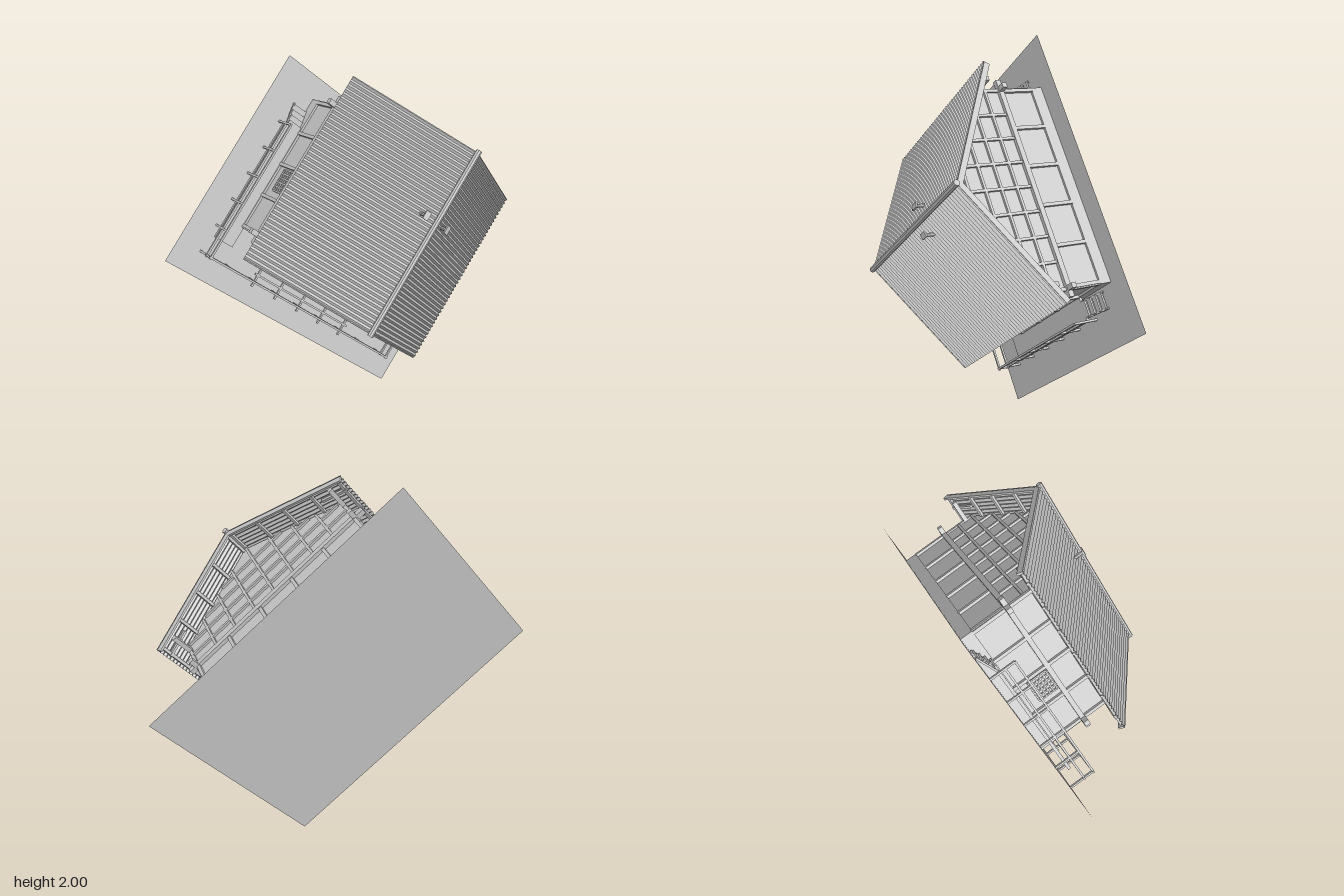
import * as THREE from 'three';

const grey = new THREE.MeshStandardMaterial({ color: 0xcccccc, flatShading: true });
const thin = new THREE.MeshStandardMaterial({ color: 0xcccccc, flatShading: true, side: THREE.DoubleSide });

// House dimensions in its own upright frame (y up, ridge along z)
const X0 = -0.56, X1 = 0.506, Z0 = -0.5, Z1 = 0.26, ZC = -0.12;
const RIDGE_X = -0.017, RIDGE_Y = 0.765, PITCH = 0.525, SLOPE = 0.732, ROOF_LEN = 1.06;
const DECK = 0.06, RAIL = 0.14;
const roofY = x => RIDGE_Y - Math.abs(x - RIDGE_X) * Math.tan(PITCH);

function add(parent, name, geometry, x, y, z, material = grey) {
  const mesh = new THREE.Mesh(geometry, material);
  mesh.name = name;
  mesh.position.set(x, y, z);
  parent.add(mesh);
  return mesh;
}

// Box given by its low and high corners
function box(parent, name, x0, x1, y0, y1, z0, z1) {
  return add(parent, name, new THREE.BoxGeometry(x1 - x0, y1 - y0, z1 - z0),
    (x0 + x1) / 2, (y0 + y1) / 2, (z0 + z1) / 2);
}

// Square timber between two points
function bar(parent, name, a, b, t = 0.012) {
  const p = new THREE.Vector3(...a), q = new THREE.Vector3(...b);
  const mesh = add(parent, name, new THREE.BoxGeometry(t, t, p.distanceTo(q)), 0, 0, 0);
  mesh.position.copy(p).add(q).multiplyScalar(0.5);
  mesh.lookAt(q);
  return mesh;
}

function buildWalls() {
  const g = new THREE.Group();
  g.name = 'walls';
  const s = new THREE.Shape();
  s.moveTo(X0, 0);
  s.lineTo(X1, 0);
  s.lineTo(X1, roofY(X1) - 0.015);
  s.lineTo(RIDGE_X, RIDGE_Y - 0.015);
  s.lineTo(X0, roofY(X0) - 0.015);
  const gable = new THREE.ExtrudeGeometry(s, { depth: 0.02, bevelEnabled: false });
  add(g, 'backGableWall', gable, 0, 0, Z0);
  add(g, 'frontGableWall', gable, 0, 0, Z1 - 0.02);
  box(g, 'sideWall', X0, X0 + 0.02, 0, roofY(X0) - 0.015, Z0, Z1);
  box(g, 'sideWall', X1 - 0.02, X1, 0, roofY(X1) - 0.015, Z0, Z1);
  box(g, 'plinth', X0 - 0.012, X1 + 0.012, 0, 0.065, Z0 - 0.012, Z1 + 0.012);

  // Timber frame of both gable walls
  for (const z of [Z0 - 0.006, Z1 + 0.006]) {
    for (let i = 0; i <= 5; i++) {
      const x = X0 + (X1 - X0) * i / 5;
      bar(g, 'wallPost', [x, 0.06, z], [x, 0.256, z], 0.018);
    }
    for (let i = 1; i < 8; i++) {
      const x = X0 + (X1 - X0) * i / 8;
      bar(g, 'gableStud', [x, 0.256, z], [x, roofY(x) - 0.02, z], 0.014);
    }
    bar(g, 'tieBeam', [X0 - 0.06, 0.256, z], [X1 + 0.05, 0.256, z], 0.028);
    for (const y of [0.35, 0.44, 0.53, 0.62]) {
      const half = (RIDGE_Y - 0.02 - y) / Math.tan(PITCH);
      bar(g, 'gableRail', [Math.max(X0, RIDGE_X - half), y, z], [Math.min(X1, RIDGE_X + half), y, z], 0.014);
    }
  }

  // Timber frame, doors and lattice windows of the side walls
  for (const [x, out] of [[X0, -1], [X1, 1]]) {
    const f = x + out * 0.006;
    for (let i = 0; i <= 4; i++) {
      const z = Z0 + (Z1 - Z0) * i / 4;
      bar(g, 'sidePost', [f, 0.06, z], [f, roofY(x) - 0.02, z], 0.018);
    }
    bar(g, 'sideBeam', [f, 0.256, Z0 - 0.06], [f, 0.256, Z1 + 0.06], 0.026);
    bar(g, 'wallPlate', [f, 0.4, Z0 - 0.13], [f, 0.4, Z1 + 0.13], 0.024);
    for (let i = 0; i <= 5; i++) {
      bar(g, 'windowBar', [f, 0.13, -0.1 + i * 0.025], [f, 0.235, -0.1 + i * 0.025], 0.008);
      bar(g, 'windowBar', [f, 0.13 + i * 0.021, -0.1], [f, 0.13 + i * 0.021, 0.025], 0.008);
    }
  }
  return g;
}

function buildRoof() {
  const g = new THREE.Group();
  g.name = 'roof';
  for (const s of [-1, 1]) {
    const side = new THREE.Group();
    side.name = s < 0 ? 'rightRoofSlope' : 'leftRoofSlope';
    side.position.set(RIDGE_X, RIDGE_Y, ZC);
    side.rotation.z = -s * PITCH;
    g.add(side);
    // Corrugated sheet with ribs running down the slope
    const waves = 44;
    const sheet = new THREE.PlaneGeometry(SLOPE, ROOF_LEN, 1, waves * 4).rotateX(-Math.PI / 2);
    const p = sheet.attributes.position;
    for (let i = 0; i < p.count; i++) {
      p.setY(i, 0.005 * Math.sin((p.getZ(i) / ROOF_LEN + 0.5) * waves * Math.PI * 2));
    }
    sheet.computeVertexNormals();
    add(side, 'roofSheet', sheet, s * SLOPE / 2, 0, 0, thin);
    // Boards along the gable edges and purlins below the sheet
    for (const z of [-1, 1]) {
      add(side, 'bargeBoard', new THREE.BoxGeometry(SLOPE, 0.03, 0.012),
        s * SLOPE / 2, -0.018, z * (ROOF_LEN / 2 - 0.008));
    }
    for (let i = 0; i < 5; i++) {
      add(side, 'purlin', new THREE.BoxGeometry(0.016, 0.016, ROOF_LEN - 0.02),
        s * (0.02 + i * 0.172), -0.015, 0);
    }
    for (let i = 0; i < 7; i++) {
      add(side, 'rafterEnd', new THREE.BoxGeometry(0.15, 0.016, 0.014), s * 0.645, -0.018, -0.45 + i * 0.15);
    }
    // Flue with a small hood
    const x = RIDGE_X + s * 0.078;
    add(g, 'fluePipe', new THREE.CylinderGeometry(0.01, 0.01, 0.07, 8), x, roofY(x) + 0.015, -0.238);
    const hood = add(g, 'flueHood', new THREE.BoxGeometry(0.03, 0.008, 0.045), x, roofY(x) + 0.05, -0.238);
    hood.rotation.z = -s * 0.25;
  }
  const cap = add(g, 'ridgeCap', new THREE.CylinderGeometry(0.016, 0.016, ROOF_LEN + 0.02, 8), RIDGE_X, RIDGE_Y + 0.002, ZC);
  cap.rotation.x = Math.PI / 2;
  return g;
}

function buildVeranda() {
  const g = new THREE.Group();
  g.name = 'veranda';
  const L = -0.675, R = 0.645, F = 0.49, END = -0.31;
  box(g, 'sideDeck', L, X0, DECK - 0.016, DECK, END, 0.39);
  box(g, 'sideDeck', X1, R, DECK - 0.016, DECK, END, 0.39);
  box(g, 'frontDeck', -0.33, 0.34, DECK - 0.016, DECK, Z1, 0.39);
  // Posts and two rails along the front and both sides
  const posts = [];
  for (let i = 0; i <= 8; i++) posts.push([L + (R - L) * i / 8, F]);
  for (const x of [L, R]) {
    for (let i = 0; i < 5; i++) posts.push([x, END + (F - END) * i / 5]);
  }
  for (const [x, z] of posts) bar(g, 'railPost', [x, 0, z], [x, RAIL, z], 0.011);
  for (const y of [0.085, RAIL]) {
    bar(g, 'frontRail', [L - 0.01, y, F], [R + 0.01, y, F], 0.011);
    for (const x of [L, R]) bar(g, 'sideRail', [x, y, END], [x, y, F + 0.01], 0.011);
  }
  // Cross beams tying the front rail to the deck
  for (let i = 0; i <= 4; i++) {
    const x = -0.34 + i * 0.164;
    bar(g, 'crossBeam', [x, DECK, 0.3], [x, DECK, 0.52], 0.011);
  }
  bar(g, 'frontBeam', [-0.36, DECK, 0.45], [0.34, DECK, 0.45], 0.011);
  // Steps at the back end of each side deck
  for (const [x0, x1] of [[L + 0.02, X0 - 0.015], [X1 + 0.035, R - 0.02]]) {
    for (let i = 0; i < 4; i++) {
      const z = END - 0.03 * i, y = DECK - 0.014 * i;
      box(g, 'stepTread', x0, x1, y - 0.01, y, z - 0.03, z);
    }
    for (const x of [x0, x1]) bar(g, 'stepStringer', [x, DECK - 0.01, END], [x, 0.005, END - 0.125], 0.01);
  }
  return g;
}

export function createModel() {
  const model = new THREE.Group();
  model.name = 'house';
  // The whole plot is tipped so that its ground leans towards the front
  const tilt = new THREE.Group();
  tilt.name = 'plot';
  const u = new THREE.Vector3(0.749, -0.655, -0.0975).normalize();
  const n = new THREE.Vector3(0.262, 0.158, 0.952);
  n.addScaledVector(u, -n.dot(u)).normalize();
  const w = new THREE.Vector3().crossVectors(u, n);
  tilt.quaternion.setFromRotationMatrix(new THREE.Matrix4().makeBasis(u, n, w));
  tilt.position.set(0, 1, -0.303);
  add(tilt, 'ground', new THREE.PlaneGeometry(1.64, 1.25).rotateX(-Math.PI / 2), 0, 0, 0, thin);
  tilt.add(buildWalls(), buildRoof(), buildVeranda());
  model.add(tilt);
  return model;
}
